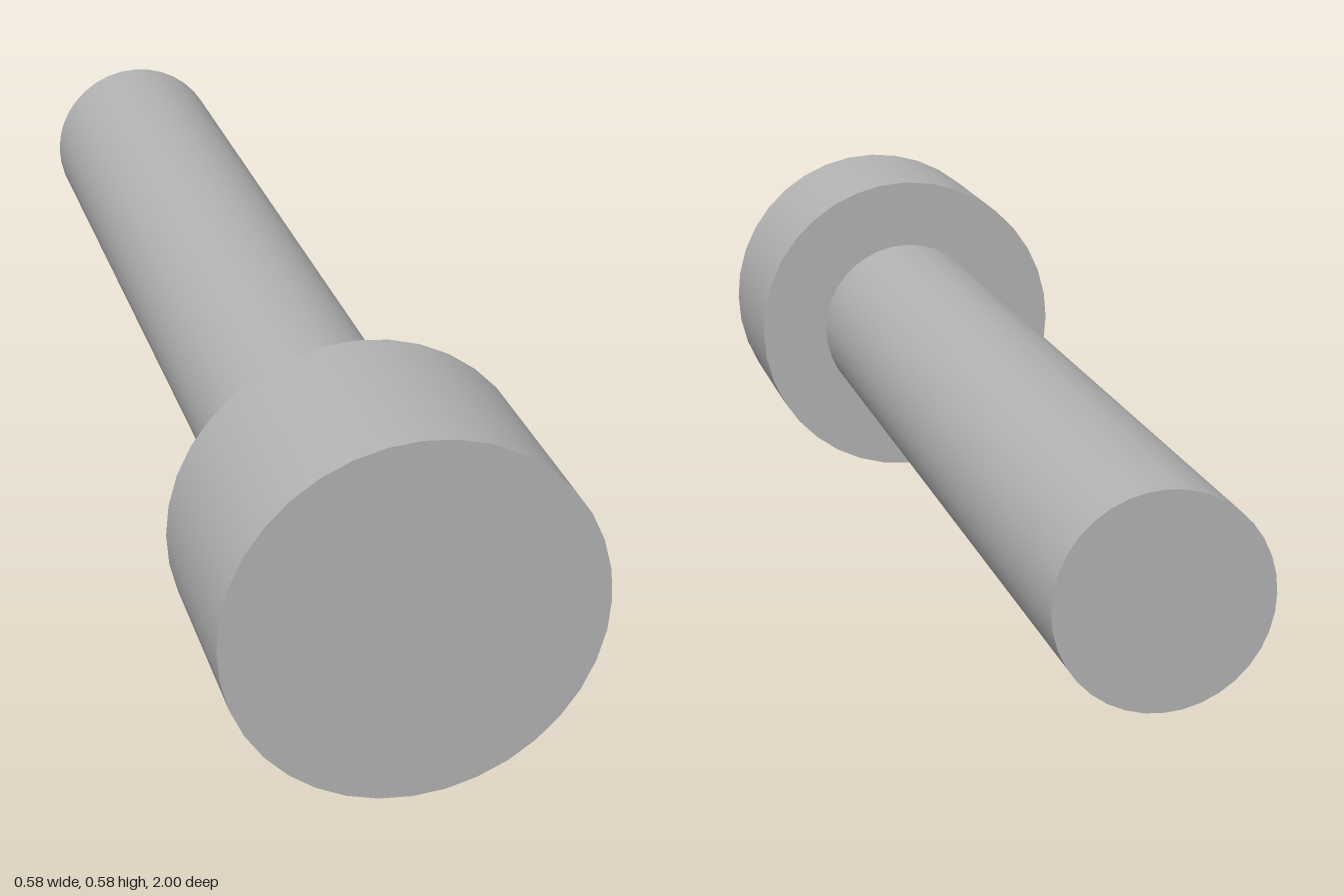
import * as THREE from 'three';

export function createModel() {
  const group = new THREE.Group();
  const steel = new THREE.MeshStandardMaterial({ color: 0xb3b3b3 });
  steel.name = 'grey steel';

  const headRadius = 0.2917;
  const shankRadius = 0.165;
  const headBack = 0.667; // z of the shoulder under the head

  // Smooth cylinder lying along z between two depths
  function rod(name, radius, zBack, zFront) {
    const geometry = new THREE.CylinderGeometry(radius, radius, zFront - zBack, 36);
    geometry.rotateX(Math.PI / 2);
    const mesh = new THREE.Mesh(geometry, steel);
    mesh.name = name;
    mesh.position.set(0, headRadius, (zFront + zBack) / 2);
    group.add(mesh);
  }

  rod('head', headRadius, headBack, 1);
  rod('shank', shankRadius, -1, headBack);

  return group;
}
